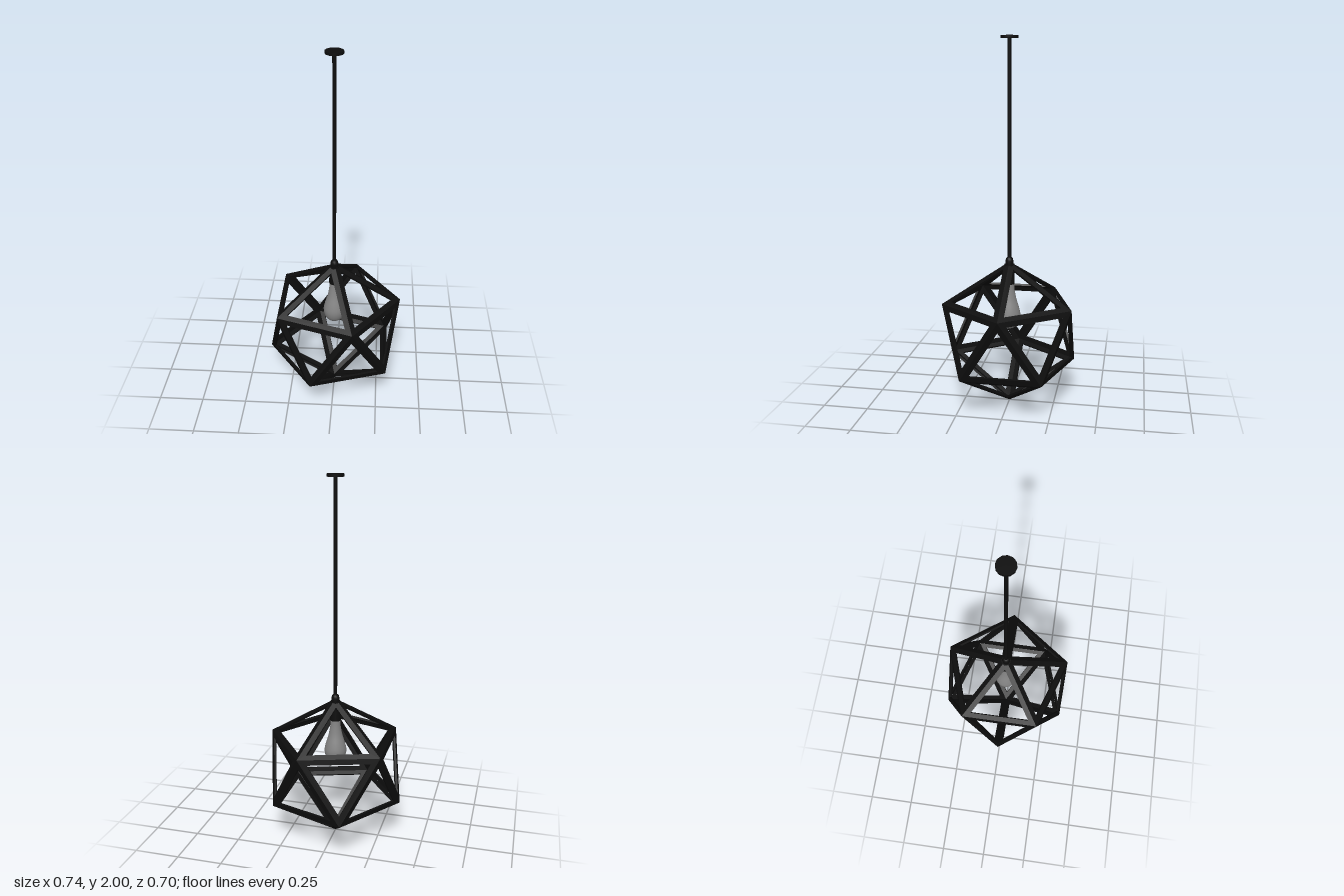
import * as THREE from 'three';

const black = new THREE.MeshStandardMaterial({ color: 0x0d0d0d });
black.name = 'matte black metal';
const grey = new THREE.MeshStandardMaterial({ color: 0x848484 });
grey.name = 'grey glass';

const CENTER_Y = 0.407;   // middle of the cage
const APEX = 0.403;       // cage centre to top and bottom corners
const RING_Y = 0.179;     // cage centre to the two rings of corners
const RING_R = 0.37;
const BAND = 0.029;       // band width on each face
const DEPTH = 0.012;      // band thickness

function mesh(name, geometry, material, y = 0) {
  const m = new THREE.Mesh(geometry, material);
  m.name = name;
  m.position.y = y;
  return m;
}

// One triangular frame: front band, hole wall and back band
function addFrame(positions, a, b, c) {
  const mid = new THREE.Vector3().add(a).add(b).add(c).divideScalar(3);
  const n = new THREE.Vector3().crossVectors(b.clone().sub(a), c.clone().sub(a)).normalize();
  if (n.dot(mid) < 0) {
    [b, c] = [c, b];
    n.negate();
  }
  const outer = [a, b, c];
  const perimeter = a.distanceTo(b) + b.distanceTo(c) + c.distanceTo(a);
  const area = new THREE.Triangle(a, b, c).getArea();
  const keep = 1 - BAND / (2 * area / perimeter);
  const shrink = 1 - DEPTH / mid.dot(n);
  const hole = outer.map(v => mid.clone().lerp(v, keep));
  const holeBack = hole.map(v => v.clone().addScaledVector(n, -DEPTH));
  const outerBack = outer.map(v => v.clone().multiplyScalar(shrink));
  const loops = [outer, hole, holeBack, outerBack];
  for (let k = 0; k < 3; k++) {
    for (let i = 0; i < 3; i++) {
      const j = (i + 1) % 3;
      const p = loops[k][i], q = loops[k][j], r = loops[k + 1][j], s = loops[k + 1][i];
      for (const v of [p, q, r, p, r, s]) positions.push(v.x, v.y, v.z);
    }
  }
}

// Twenty-sided open cage
function cageGeometry() {
  const ring = (y, turn) => Array.from({ length: 5 }, (_, i) => {
    const t = (i + turn) * Math.PI * 2 / 5;
    return new THREE.Vector3(RING_R * Math.cos(t), y, RING_R * Math.sin(t));
  });
  const top = new THREE.Vector3(0, APEX, 0);
  const bottom = new THREE.Vector3(0, -APEX, 0);
  const upper = ring(RING_Y, 0);
  const lower = ring(-RING_Y, 0.5);
  const positions = [];
  for (let i = 0; i < 5; i++) {
    const j = (i + 1) % 5;
    addFrame(positions, top, upper[i], upper[j]);
    addFrame(positions, upper[i], upper[j], lower[i]);
    addFrame(positions, lower[i], lower[j], upper[j]);
    addFrame(positions, bottom, lower[i], lower[j]);
  }
  const g = new THREE.BufferGeometry();
  g.setAttribute('position', new THREE.Float32BufferAttribute(positions, 3));
  g.computeVertexNormals();
  return g;
}

function lathe(points, sides) {
  return new THREE.LatheGeometry(points.map(([r, y]) => new THREE.Vector2(r, y)), sides);
}

export function createModel() {
  const model = new THREE.Group();
  model.name = 'pendantLamp';

  model.add(mesh('cage', cageGeometry(), black, CENTER_Y));

  // Ceiling plate and hanging rod
  model.add(mesh('ceilingPlate', new THREE.CylinderGeometry(0.047, 0.047, 0.014, 12), black, 1.993));
  model.add(mesh('rod', new THREE.CylinderGeometry(0.01, 0.01, 1.18, 12), black, 1.4));

  // Rounded collar where the rod meets the cage
  model.add(mesh('collar', lathe([
    [0, 0.775], [0.022, 0.775], [0.022, 0.815], [0.018, 0.829], [0.01, 0.837], [0, 0.837],
  ], 16), black));

  // Lamp holder and bulb
  model.add(mesh('socket', new THREE.CylinderGeometry(0.027, 0.029, 0.11, 20), black, 0.741));
  const bulb = new THREE.SplineCurve([
    [0, 0.431], [0.028, 0.438], [0.051, 0.463], [0.061, 0.505], [0.053, 0.55],
    [0.038, 0.6], [0.029, 0.65], [0.026, 0.69],
  ].map(([r, y]) => new THREE.Vector2(r, y))).getPoints(24);
  bulb[0].x = 0;
  model.add(mesh('bulb', new THREE.LatheGeometry(bulb, 24), grey));

  return model;
}
